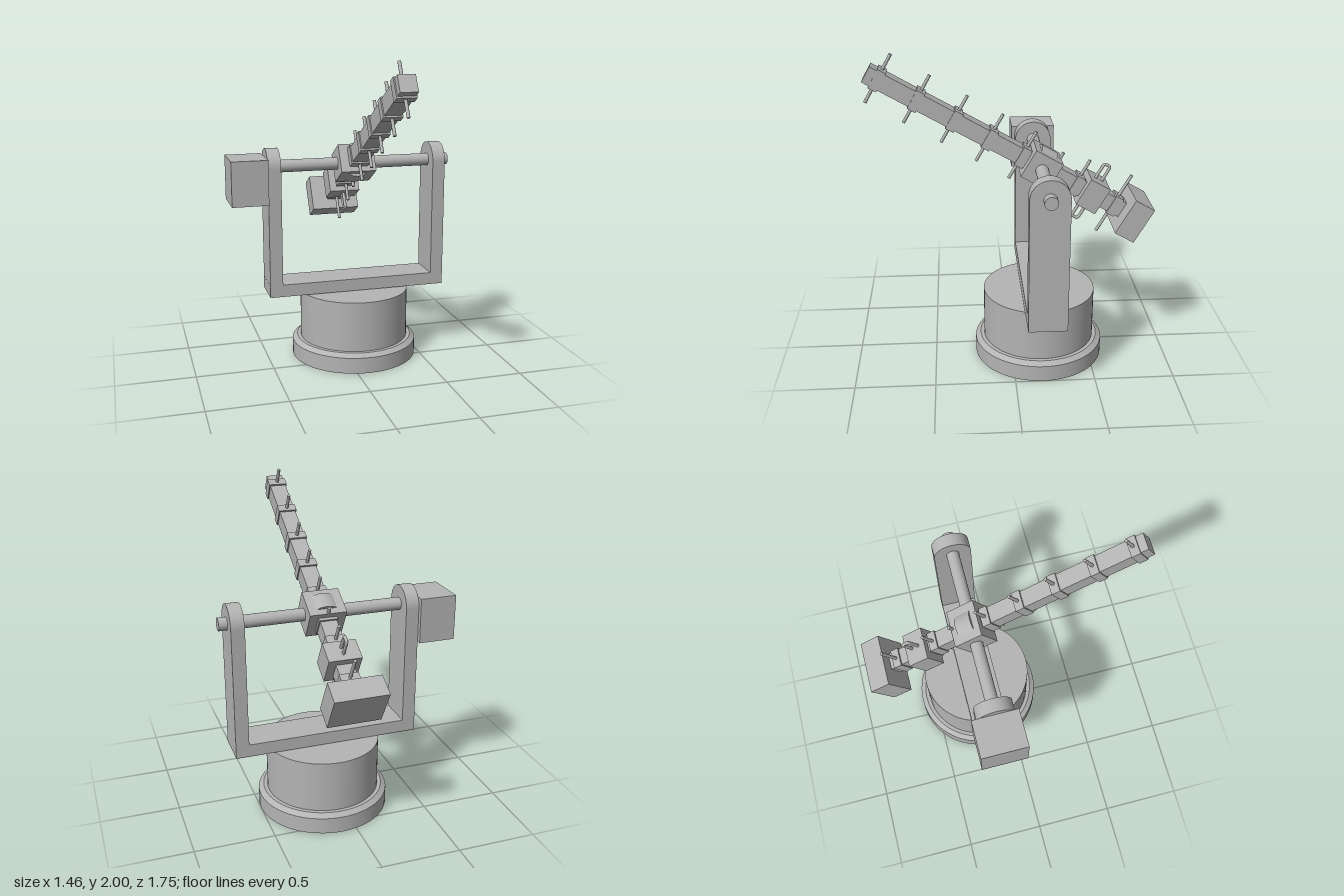
import * as THREE from 'three';

const CX = 0.087, CZ = -0.178, AXLE_Y = 1.296;

export function createModel() {
  const grey = new THREE.MeshStandardMaterial({ color: 0xb4b4b4 });
  grey.name = 'grey';
  const model = new THREE.Group();
  model.name = 'steerableAntenna';

  const add = (parent, name, geometry, x = 0, y = 0, z = 0) => {
    const mesh = new THREE.Mesh(geometry, grey);
    mesh.name = name;
    mesh.position.set(x, y, z);
    parent.add(mesh);
    return mesh;
  };
  const box = (w, h, d) => new THREE.BoxGeometry(w, h, d);
  const cyl = (top, bottom, h, n = 64) => new THREE.CylinderGeometry(top, bottom, h, n);

  // Round base with chamfered foot and turntable
  add(model, 'baseFoot', cyl(0.413, 0.413, 0.104), CX, 0.052, CZ);
  add(model, 'baseChamfer', cyl(0.381, 0.413, 0.023), CX, 0.1155, CZ);
  add(model, 'turntable', cyl(0.357, 0.357, 0.33), CX, 0.29, CZ);

  // U-shaped yoke: cross plate and two posts with round tops
  add(model, 'yokePlate', box(1.175, 0.08, 0.235), CX, 0.5, CZ);
  const r = 0.1175;
  const outline = new THREE.Shape();
  outline.moveTo(-r, 0.46);
  outline.lineTo(r, 0.46);
  outline.lineTo(r, AXLE_Y);
  outline.absarc(0, AXLE_Y, r, 0, Math.PI, false);
  outline.closePath();
  const postGeometry = new THREE.ExtrudeGeometry(outline, { depth: 0.083, bevelEnabled: false, curveSegments: 24 });
  postGeometry.rotateY(Math.PI / 2);
  add(model, 'rightPost', postGeometry, -0.5, 0, CZ);
  add(model, 'leftPost', postGeometry, 0.592, 0, CZ);

  // Tilt axle and drive housing
  const axle = add(model, 'axle', cyl(0.04, 0.04, 1.187, 32), 0.1335, AXLE_Y, CZ);
  axle.rotation.z = Math.PI / 2;
  add(model, 'driveHousing', box(0.233, 0.287, 0.287), -0.6165, 1.217, -0.183);

  // Tilted boom assembly: local +z runs toward the boom tip
  const boom = new THREE.Group();
  boom.name = 'boomAssembly';
  boom.position.set(CX, AXLE_Y, CZ);
  boom.rotation.x = -Math.PI / 6;
  model.add(boom);

  add(boom, 'boom', box(0.104, 0.104, 1.85), 0, 0, 0.262);
  add(boom, 'pivotBlock', box(0.23, 0.19, 0.19));
  const collar = add(boom, 'pivotCollar', cyl(0.114, 0.114, 0.107, 48));
  collar.rotation.x = Math.PI / 2;
  add(boom, 'feedBox', box(0.204, 0.183, 0.139), 0, 0, -0.369);
  add(boom, 'counterweight', box(0.328, 0.245, 0.138), 0, 0, -0.663);

  // Rod elements with clamps: [position along boom, length]
  const elements = [
    [1.112, 0.33], [0.857, 0.33], [0.603, 0.33], [0.36, 0.335], [0.128, 0.34],
    [-0.086, 0.27], [-0.257, 0.345], [-0.539, 0.425],
  ];
  for (const [z, length] of elements) {
    add(boom, 'elementRod', cyl(0.01, 0.01, length, 16), 0, 0, z);
    add(boom, 'elementClamp', box(0.118, 0.126, 0.055), 0, 0, z);
  }

  // Folded dipole: closed rounded loop in the plane of the boom
  const loop = new THREE.CurvePath();
  const w = 0.022, h = 0.196, c = 0.016;
  const p = (y, z) => new THREE.Vector3(0, y, z);
  const corners = [[1, 1], [1, -1], [-1, -1], [-1, 1]];
  corners.forEach(([sy, sz], i) => {
    const [ny, nz] = corners[(i + 1) % 4];
    const acrossTop = sy === ny;
    const alongY = p(sy * (h - c), sz * w), alongZ = p(sy * h, sz * (w - c));
    const [enter, leave] = acrossTop ? [alongY, alongZ] : [alongZ, alongY];
    loop.add(new THREE.QuadraticBezierCurve3(enter, p(sy * h, sz * w), leave));
    const next = acrossTop ? p(ny * h, nz * (w - c)) : p(ny * (h - c), nz * w);
    loop.add(new THREE.LineCurve3(leave, next));
  });
  const points = [];
  for (const curve of loop.curves) {
    const n = curve.isLineCurve3 ? 4 : 5;
    for (let i = 0; i < n; i++) points.push(curve.getPoint(i / n));
  }
  const path = new THREE.CatmullRomCurve3(points, true);
  add(boom, 'foldedDipole', new THREE.TubeGeometry(path, 160, 0.01, 12, true), 0, 0, -0.369);

  return model;
}
